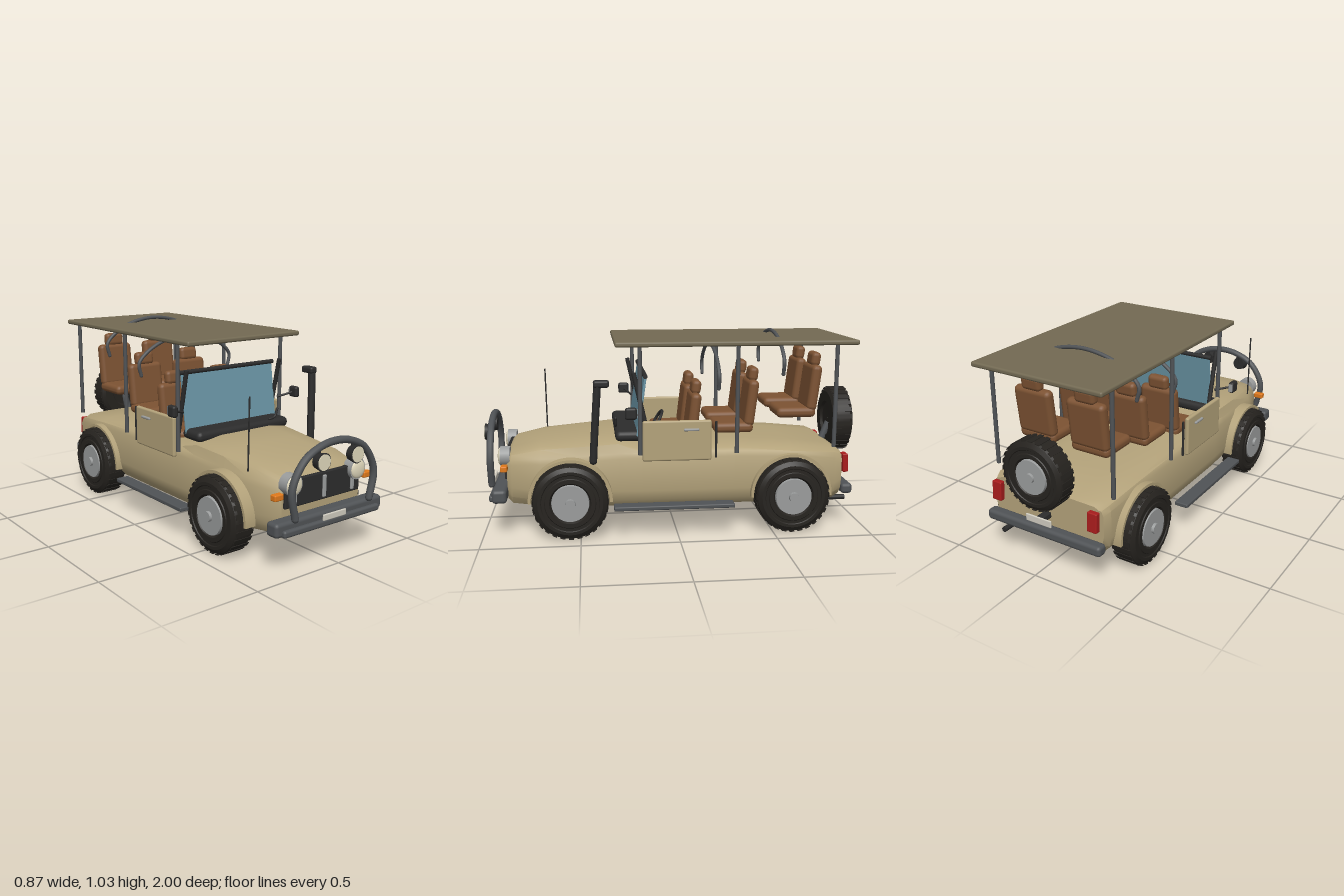
import * as THREE from 'three';
import { toCreasedNormals } from 'three/addons/utils/BufferGeometryUtils.js';
import { RoundedBoxGeometry } from 'three/addons/geometries/RoundedBoxGeometry.js';

const mat = (color) => new THREE.MeshStandardMaterial({ color });
const V = (p) => new THREE.Vector3(...p);
const M = {
  tan: mat(0xb3a27a), roof: mat(0x736a53), dark: mat(0x2c2c2c), steel: mat(0x505356),
  tyre: mat(0x26231f), rim: mat(0x9a9c9c), glass: mat(0x6a95a6), brown: mat(0x7d5333),
  lamp: mat(0xe0d8bc), orange: mat(0xe07a1c), red: mat(0xa81c1c), plate: mat(0xd0ccc0),
};

export function createModel() {
  const car = new THREE.Group();
  car.name = 'safariCar';

  const add = (name, geo, m, pos = [0, 0, 0], rot = [0, 0, 0], parent = car) => {
    const mesh = new THREE.Mesh(geo, m);
    mesh.name = name;
    mesh.position.set(...pos);
    mesh.rotation.set(...rot);
    parent.add(mesh);
    return mesh;
  };
  const box = (name, size, m, pos, rot, r = 0.006, parent = car) =>
    add(name, new RoundedBoxGeometry(...size, 2, Math.min(r, ...size.map((s) => s * 0.48))), m, pos, rot, parent);
  const tube = (name, pts, r, m) => {
    const curve = new THREE.CatmullRomCurve3(pts.map(V));
    add(name, new THREE.TubeGeometry(curve, pts.length * 7, r, 10), m);
    for (const p of [pts[0], pts[pts.length - 1]]) add(name + 'End', new THREE.SphereGeometry(r, 10, 6), m, p);
  };
  const bar = (name, a, b, r, m) => {
    const d = V(b).sub(V(a));
    const mesh = add(name, new THREE.CylinderGeometry(r, r, d.length(), 12), m, V(a).addScaledVector(d, 0.5).toArray());
    mesh.quaternion.setFromUnitVectors(new THREE.Vector3(0, 1, 0), d.normalize());
  };

  // Body shell lofted front to back: z, half width, bottom, shoulder, deck half width, deck edge, deck crown
  const stations = [
    [0.875, 0.255, 0.175, 0.385, 0.235, 0.4, 0.42],
    [0.85, 0.275, 0.155, 0.39, 0.24, 0.425, 0.445],
    [0.7, 0.313, 0.145, 0.4, 0.265, 0.455, 0.475],
    [0.5, 0.322, 0.14, 0.41, 0.285, 0.47, 0.493],
    [0.3, 0.34, 0.14, 0.425, 0.3, 0.485, 0.512],
    [0.18, 0.347, 0.14, 0.43, 0.305, 0.455, 0.475],
    [-0.3, 0.347, 0.14, 0.43, 0.305, 0.455, 0.47],
    [-0.6, 0.345, 0.14, 0.42, 0.305, 0.442, 0.455],
    [-0.84, 0.34, 0.15, 0.405, 0.3, 0.42, 0.43],
    [-0.88, 0.325, 0.17, 0.39, 0.29, 0.403, 0.41],
  ];
  const pos = [], idx = [];
  for (const [z, w, yb, ys, hw, yh, yt] of stations) {
    const half = [[w * 0.87, yb], [w * 0.97, yb + 0.04], [w, yb + 0.09], [w, ys - 0.025], [w - 0.012, ys],
      [hw + 0.01, yh - 0.012], [hw - 0.015, yh], [hw * 0.55, yt - 0.005]];
    for (const [x, y] of half) pos.push(x, y, z);
    for (const [x, y] of half.reverse()) pos.push(-x, y, z);
  }
  const n = 16, last = (stations.length - 1) * n;
  for (let i = 0; i < last; i += n) {
    for (let j = 0; j < n; j++) {
      const a = i + j, b = i + (j + 1) % n;
      idx.push(a, a + n, b, a + n, b + n, b);
    }
  }
  for (let j = 1; j < n - 1; j++) idx.push(0, j, j + 1, last, last + j + 1, last + j);
  const shell = new THREE.BufferGeometry();
  shell.setAttribute('position', new THREE.Float32BufferAttribute(pos, 3));
  shell.setIndex(idx);
  add('body', toCreasedNormals(shell, 0.6), M.tan);

  // Wheels: ridged tyre, rim, hub cap and tread grooves; outer face points to +x before flipping
  const wheel = (name, R, W, p, rotY) => {
    const g = new THREE.Group();
    g.name = name;
    g.position.set(...p);
    g.rotation.y = rotY;
    car.add(g);
    const h = W / 2;
    const profile = [[0.02, -h * 0.7], [0.5, -h * 0.75], [0.55, -h], [0.86, -h], [0.97, -h * 0.8], [1, -h * 0.6], [1, h * 0.6],
      [0.97, h * 0.8], [0.86, h], [0.78, h], [0.76, h * 0.93], [0.68, h * 0.93], [0.66, h], [0.55, h], [0.5, h * 0.75], [0.02, h * 0.7]]
      .map(([r, y]) => new THREE.Vector2(r * R, y));
    const side = [0, 0, -Math.PI / 2];
    add('tyre', toCreasedNormals(new THREE.LatheGeometry(profile, 36), 0.4), M.tyre, [0, 0, 0], side, g);
    add('rim', new THREE.CylinderGeometry(R * 0.49, R * 0.51, W * 0.2, 28), M.rim, [h * 0.82, 0, 0], side, g);
    add('hub', new THREE.CylinderGeometry(R * 0.13, R * 0.15, W * 0.25, 16), M.rim, [h * 0.98, 0, 0], side, g);
    for (let i = 0; i < 28; i++) {
      const a = (i / 28) * Math.PI * 2;
      add('tread', new THREE.BoxGeometry(W * 0.8, 0.004, R * 0.13), M.tyre, [0, Math.cos(a) * R, Math.sin(a) * R], [a, 0, 0], g);
    }
  };
  const arch = new THREE.Shape();
  arch.absarc(0, 0, 0.215, -0.05, Math.PI + 0.05, false);
  arch.absarc(0, 0, 0.2, Math.PI + 0.05, -0.05, true);
  const archGeo = new THREE.ExtrudeGeometry(arch, { depth: 0.06, bevelEnabled: false, curveSegments: 24 });
  archGeo.translate(0, 0, -0.03).rotateY(Math.PI / 2);
  const spareZ = -0.935;
  wheel('spareWheel', 0.175, 0.11, [0, 0.525, spareZ], Math.PI / 2);
  bar('spareMount', [0, 0.4, -0.86], [0, 0.5, -0.9], 0.02, M.steel);

  // Everything mirrored left and right
  for (const s of [1, -1]) {
    for (const z of [0.55, -0.6]) {
      wheel(z > 0 ? 'frontWheel' : 'rearWheel', 0.192, 0.13, [s * 0.357, 0.195, z], s > 0 ? 0 : Math.PI);
      add('wheelArch', toCreasedNormals(archGeo, 0.5), M.tan, [s * 0.345, 0.195, z]);
    }
    box('door', [0.024, 0.21, 0.355], M.tan, [s * 0.356, 0.495, 0.002], undefined, 0.01);
    box('doorHandle', [0.014, 0.014, 0.08], M.rim, [s * 0.372, 0.553, -0.07]);
    bar('doorPost', [s * 0.352, 0.4, -0.2], [s * 0.352, 0.59, -0.2], 0.006, M.dark);
    box('runningBoard', [0.075, 0.022, 0.62], M.steel, [s * 0.397, 0.162, 0.02]);
    for (const z of [0.19, -0.31, -0.825]) bar('roofPost', [s * 0.345, z < -0.5 ? 0.44 : 0.42, z], [s * 0.345, 0.98, z], 0.011, M.steel);
    bar('windscreenPillar', [s * 0.312, 0.48, 0.14], [s * 0.312, 0.84, 0.22], 0.012, M.dark);

    // Mirrors
    bar('mirrorArm', [s * 0.32, 0.625, 0.2], [s * 0.41, 0.65, 0.24], 0.006, M.dark);
    box('mirror', [0.032, 0.06, 0.06], M.dark, [s * 0.412, 0.65, 0.24], undefined, 0.012);
    box('mirrorGlass', [0.024, 0.044, 0.004], M.rim, [s * 0.412, 0.65, 0.209]);

    // Lamps
    const ahead = [Math.PI / 2, 0, 0];
    add('headlightRing', new THREE.CylinderGeometry(0.052, 0.052, 0.05, 24), M.rim, [s * 0.21, 0.4, 0.883], ahead);
    const lens = new THREE.SphereGeometry(0.047, 20, 8, 0, Math.PI * 2, 0, Math.PI / 2).scale(1, 0.3, 1);
    add('headlight', lens, M.lamp, [s * 0.21, 0.4, 0.908], ahead);
    add('spotlight', new THREE.CylinderGeometry(0.044, 0.036, 0.04, 24), M.dark, [s * 0.11, 0.51, 0.972], ahead);
    add('spotlightLens', new THREE.CylinderGeometry(0.038, 0.038, 0.012, 24), M.lamp, [s * 0.11, 0.51, 0.99], ahead);
    bar('spotlightBracket', [s * 0.11, 0.5, 0.96], [s * 0.11, 0.585, 0.956], 0.008, M.dark);
    box('turnSignal', [0.055, 0.03, 0.035], M.orange, [s * 0.293, 0.355, 0.885]);
    box('tailLight', [0.055, 0.1, 0.03], M.red, [s * 0.285, 0.34, -0.905], [0.06, 0, 0]);

    // Three rows of seats: row floor height and back position
    for (const [y, z] of [[0.44, -0.085], [0.505, -0.39], [0.58, -0.725]]) {
      const seat = new THREE.Group();
      seat.name = 'seat';
      seat.position.set(s * 0.155, y, z);
      car.add(seat);
      box('seatCushion', [0.215, 0.055, 0.21], M.brown, [0, 0.027, 0.08], undefined, 0.024, seat);
      box('seatBack', [0.215, 0.245, 0.055], M.brown, [0, 0.155, -0.015], [-0.12, 0, 0], 0.025, seat);
      box('headrest', [0.115, 0.075, 0.05], M.brown, [0, 0.303, -0.033], [-0.12, 0, 0], 0.022, seat);
    }
  }

  // Canopy and the two hoops beneath and through it
  box('roof', [0.74, 0.026, 1.25], M.roof, [0, 0.987, -0.31], undefined, 0.01);
  for (const [y, z] of [[0.75, -0.22], [0.82, -0.557]]) {
    tube('rollHoop', [[-0.3, y, z], [-0.312, y + 0.07, z], [-0.2, y + 0.16, z], [0, y + 0.202, z],
      [0.2, y + 0.16, z], [0.312, y + 0.07, z], [0.3, y, z]], 0.01, M.steel);
  }

  // Windscreen, cowl and steering wheel
  box('windscreen', [0.61, 0.31, 0.012], M.glass, [0, 0.66, 0.18], [-0.14, 0, 0], 0.003);
  bar('windscreenTopBar', [-0.315, 0.82, 0.16], [0.315, 0.82, 0.16], 0.012, M.dark);
  box('cowl', [0.61, 0.055, 0.15], M.dark, [0, 0.508, 0.24], undefined, 0.025);
  add('steeringWheel', new THREE.TorusGeometry(0.06, 0.008, 8, 28), M.dark, [0.155, 0.56, 0.09], [-0.5, 0, 0]);
  bar('steeringColumn', [0.155, 0.56, 0.09], [0.155, 0.5, 0.19], 0.009, M.dark);
  tube('cowlHook', [[0.17, 0.54, 0.31], [0.205, 0.55, 0.31], [0.222, 0.59, 0.31]], 0.007, M.dark);

  // Grille, bumpers and bull bar
  box('grille', [0.49, 0.135, 0.03], M.dark, [0, 0.352, 0.873]);
  for (const x of [-0.19, 0, 0.19]) box('grilleSlat', [0.022, 0.11, 0.012], M.rim, [x, 0.353, 0.892]);
  box('frontBumper', [0.7, 0.07, 0.075], M.steel, [0, 0.217, 0.91], undefined, 0.018);
  box('bumperStep', [0.63, 0.035, 0.035], M.steel, [0, 0.2, 0.948], undefined, 0.012);
  box('frontPlate', [0.15, 0.032, 0.01], M.plate, [0, 0.23, 0.963]);
  tube('bullBar', [[-0.245, 0.26, 0.955], [-0.268, 0.4, 0.955], [-0.2, 0.52, 0.955], [-0.1, 0.573, 0.955], [0, 0.587, 0.955],
    [0.1, 0.573, 0.955], [0.2, 0.52, 0.955], [0.268, 0.4, 0.955], [0.245, 0.26, 0.955]], 0.018, M.steel);
  box('rearBumper', [0.68, 0.055, 0.06], M.steel, [0, 0.205, -0.91], undefined, 0.018);
  box('rearPlate', [0.15, 0.038, 0.01], M.plate, [0, 0.28, -0.95]);
  box('rearPlateMount', [0.04, 0.03, 0.07], M.dark, [0, 0.28, -0.912]);

  // Snorkel, antenna, exhaust and underbody rod
  tube('snorkel', [[0.36, 0.4, 0.43], [0.366, 0.52, 0.423], [0.376, 0.68, 0.412], [0.38, 0.78, 0.405]], 0.02, M.dark);
  box('snorkelHead', [0.046, 0.036, 0.08], M.dark, [0.38, 0.797, 0.385], undefined, 0.012);
  bar('antenna', [-0.3, 0.43, 0.69], [-0.3, 0.785, 0.695], 0.004, M.dark);
  bar('exhaust', [0.25, 0.135, -0.79], [0.25, 0.135, -0.925], 0.014, M.dark);
  bar('underbodyRod', [0, 0.02, -0.025], [0, 0.085, -0.025], 0.006, M.dark);
  return car;
}
